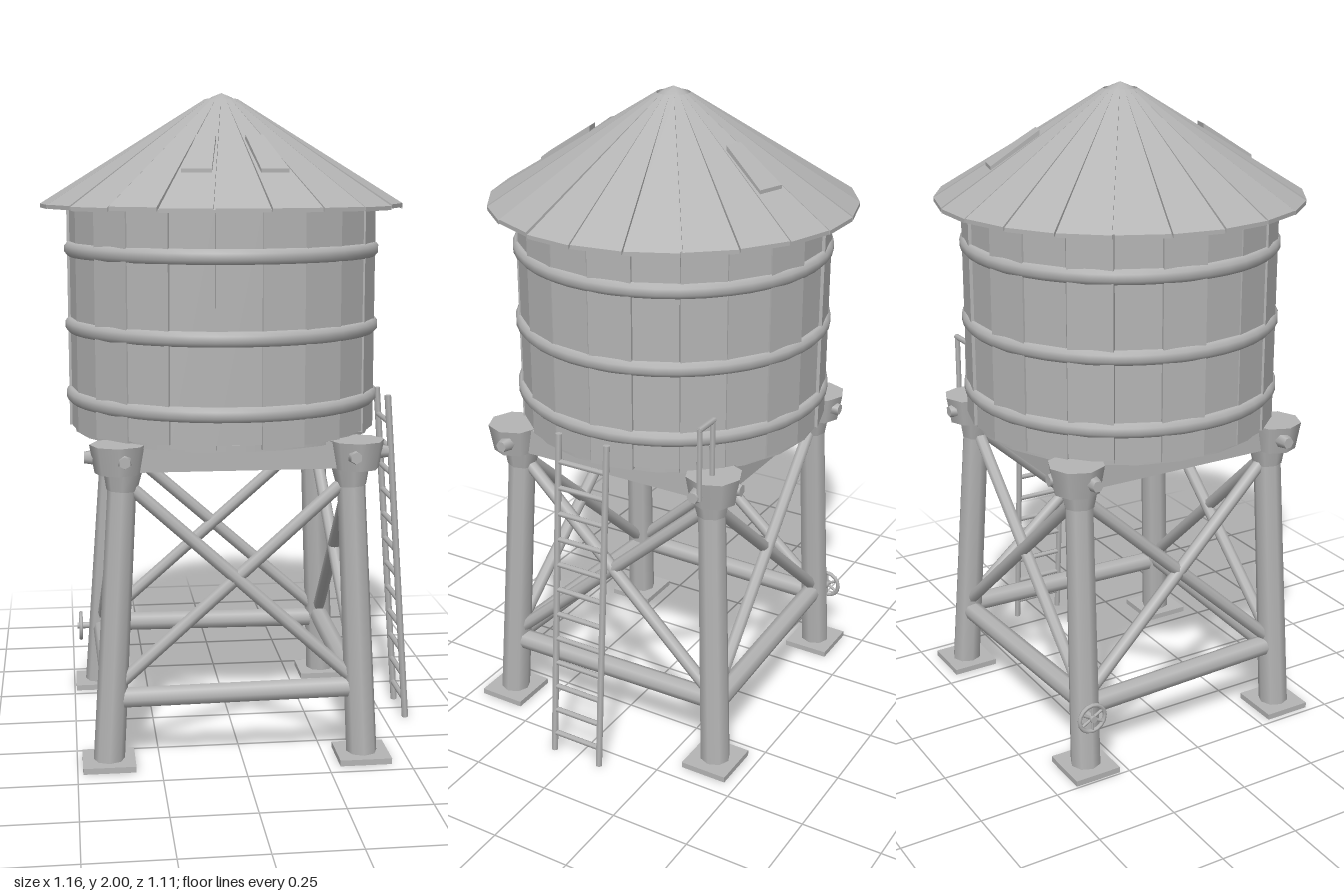
import * as THREE from 'three';

const grey = new THREE.MeshStandardMaterial({ color: 0xb4b4b4 });
grey.name = 'plainGrey';
const V = (x, y, z) => new THREE.Vector3(x, y, z);

function add(parent, name, geo, x = 0, y = 0, z = 0) {
  const m = new THREE.Mesh(geo, grey);
  m.name = name;
  m.position.set(x, y, z);
  parent.add(m);
  return m;
}

// Round bar between two points
function strut(parent, name, a, b, r, r2 = r, sides = 8) {
  const m = add(parent, name, new THREE.CylinderGeometry(r2, r, a.distanceTo(b), sides));
  m.position.copy(a).lerp(b, 0.5);
  m.quaternion.setFromUnitVectors(V(0, 1, 0), b.clone().sub(a).normalize());
  return m;
}

// Tapered roof plank: wide at the eave, narrow at the peak, following the slope
function roofPlank(half, rOut, yOut, rIn, yIn, thick) {
  const g = new THREE.BoxGeometry(1, 1, 1);
  const p = g.attributes.position;
  for (let i = 0; i < p.count; i++) {
    const out = p.getZ(i) > 0, r = out ? rOut : rIn;
    const w = Math.tan(half) * r * (out ? 0.965 : 1);
    p.setXYZ(i, Math.sign(p.getX(i)) * w, (out ? yOut : yIn) + (p.getY(i) > 0 ? thick : 0), r);
  }
  g.computeVertexNormals();
  return g;
}

export function createModel() {
  const model = new THREE.Group();
  model.name = 'waterTower';
  let seed = 7;
  const rand = () => (seed = (seed * 16807) % 2147483647) / 2147483647;
  const N = 22, step = (Math.PI * 2) / N;

  // Tank
  const tank = new THREE.Group();
  tank.name = 'tank';
  tank.position.x = -0.023;
  model.add(tank);
  add(tank, 'tankCore', new THREE.CylinderGeometry(0.455, 0.455, 0.69, N), 0, 1.325, 0);
  add(tank, 'tankFloor', new THREE.CylinderGeometry(0.465, 0.465, 0.02, N), 0, 0.98, 0);
  for (let i = 0; i < N; i++) {
    const a = i * step, r = 0.454 + rand() * 0.012, low = 0.972 + rand() * 0.02;
    const stave = add(tank, 'stave', new THREE.BoxGeometry(0.133, 1.67 - low, 0.02),
      Math.sin(a) * r, (1.67 + low) / 2, Math.cos(a) * r);
    stave.rotation.y = a;
  }
  // Hoops around the staves
  const hoop = [[0.45, -0.022], [0.476, -0.022], [0.487, -0.01], [0.487, 0.01], [0.476, 0.022], [0.45, 0.022]]
    .map(([x, y]) => new THREE.Vector2(x, y));
  for (const y of [1.08, 1.297, 1.53]) add(tank, 'hoop', new THREE.LatheGeometry(hoop, 44), 0, y, 0);

  // Roof
  const roof = new THREE.Group();
  roof.name = 'roof';
  roof.position.x = -0.023;
  model.add(roof);
  add(roof, 'roofLining', new THREE.CylinderGeometry(0.045, 0.535, 0.312, N), 0, 1.818, 0);
  for (let i = 0; i < N; i++) {
    const lift = rand() * 0.006;
    add(roof, 'roofPlank', roofPlank(step / 2, 0.553, 1.652 + lift, 0.05, 1.97, 0.012)).rotation.y = i * step;
  }
  // A few raised patch boards
  for (const i of [1, -1, 10]) {
    add(roof, 'patchBoard', roofPlank(step * 0.4, 0.4, 1.758, 0.25, 1.856, 0.016)).rotation.y = i * step;
  }
  const knob = [[0, 1.95], [0.058, 1.955], [0.06, 1.97], [0.03, 1.988], [0, 2]].map(([x, y]) => new THREE.Vector2(x, y));
  add(roof, 'roofKnob', new THREE.LatheGeometry(knob, 8));

  // Legs, feet and corner heads, in order around the tower
  const stand = new THREE.Group();
  stand.name = 'stand';
  model.add(stand);
  const corners = [[-0.405, 0.36, -0.35, 0.335], [0.365, 0.385, 0.325, 0.34],
    [0.37, -0.385, 0.325, -0.335], [-0.415, -0.355, -0.35, -0.335]];
  const legAt = (c, y) => V(c[0], 0, c[1]).lerp(V(c[2], 0.94, c[3]), y / 0.94);
  for (const c of corners) {
    const sx = Math.sign(c[0]), sz = Math.sign(c[1]);
    add(stand, 'footPlate', new THREE.BoxGeometry(0.158, 0.018, 0.15), c[0], 0.009, c[1]);
    strut(stand, 'leg', legAt(c, 0.01), legAt(c, 0.94), 0.047, 0.042);
    strut(stand, 'legCollar', legAt(c, 0.84), legAt(c, 0.93), 0.045, 0.065);
    add(stand, 'cornerHead', new THREE.CylinderGeometry(0.085, 0.07, 0.085, 8), c[2] + sx * 0.015, 0.938, c[3] + sz * 0.015);
    strut(stand, 'cornerBolt', V(c[2], 0.94, c[3]), V(c[2] + sx * 0.115, 0.94, c[3]), 0.038, 0.018, 6);
    strut(stand, 'cornerBolt', V(c[2], 0.94, c[3]), V(c[2], 0.94, c[3] + sz * 0.1), 0.038, 0.018, 6);
  }

  // Deck beams, tie bars and crossed braces on each side
  corners.forEach((c, i) => {
    const d = corners[(i + 1) % 4];
    const a = V(c[2], 0.938, c[3]), b = V(d[2], 0.938, d[3]);
    const beam = add(stand, 'deckBeam', new THREE.BoxGeometry(a.distanceTo(b), 0.08, 0.075));
    beam.position.copy(a).lerp(b, 0.5);
    beam.rotation.y = -Math.atan2(b.z - a.z, b.x - a.x);
    strut(stand, 'tieBar', legAt(c, 0.205), legAt(d, 0.22), 0.032);
    strut(stand, 'brace', legAt(c, 0.23), legAt(d, 0.87), 0.02);
    strut(stand, 'brace', legAt(c, 0.87), legAt(d, 0.23), 0.02);
  });
  add(stand, 'deck', new THREE.BoxGeometry(0.68, 0.012, 0.68), -0.012, 0.972, 0);

  // Ladder leaning on the +x side
  const ladder = new THREE.Group();
  ladder.name = 'ladder';
  model.add(ladder);
  for (const z of [-0.083, 0.083]) strut(ladder, 'ladderRail', V(0.572, 0, z), V(0.495, 1.068, z), 0.011, 0.011, 6);
  for (let i = 0; i < 12; i++) {
    const y = 0.062 + i * 0.0835, x = 0.572 - 0.072 * y;
    strut(ladder, 'rung', V(x, y, -0.083), V(x, y, 0.083), 0.009, 0.009, 6);
  }

  // Small hand rail on the back corner
  const rail = new THREE.Group();
  rail.name = 'handRail';
  model.add(rail);
  for (const x of [0.35, 0.425]) strut(rail, 'railPost', V(x, 0.93, -0.35), V(x, 1.155, -0.35), 0.009, 0.009, 6);
  strut(rail, 'railTop', V(0.343, 1.152, -0.35), V(0.432, 1.152, -0.35), 0.009, 0.009, 6);

  // Valve wheel on the back leg
  const valve = new THREE.Group();
  valve.name = 'valve';
  valve.position.set(-0.475, 0.205, -0.365);
  model.add(valve);
  add(valve, 'valveWheel', new THREE.TorusGeometry(0.043, 0.007, 6, 16)).rotation.y = Math.PI / 2;
  strut(valve, 'valveStem', V(-0.012, 0, 0), V(0.09, 0, 0), 0.011);
  for (let i = 0; i < 3; i++) {
    const s = V(0, Math.cos(i * Math.PI / 3), Math.sin(i * Math.PI / 3)).multiplyScalar(0.043);
    strut(valve, 'valveSpoke', s, s.clone().negate(), 0.005, 0.005, 6);
  }
  return model;
}
